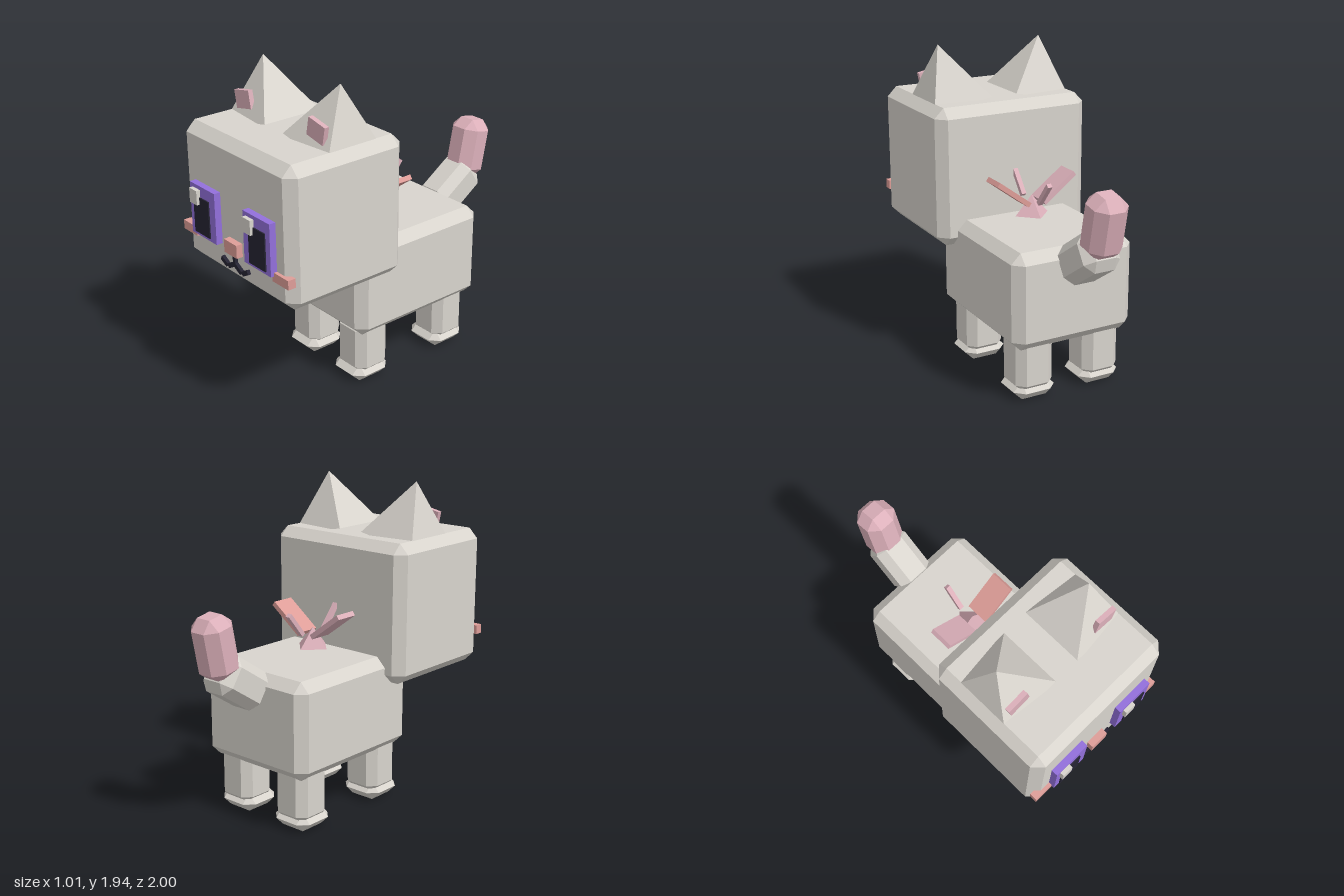
import * as THREE from 'three';
import { ConvexGeometry } from 'three/addons/geometries/ConvexGeometry.js';

const material = (name, color) => {
  const m = new THREE.MeshStandardMaterial({ color });
  m.name = name;
  return m;
};

// Box with flat chamfers of width b on every edge
function chamferBox(w, h, d, b) {
  const [x, y, z] = [w / 2, h / 2, d / 2];
  const points = [];
  for (const sx of [-1, 1]) for (const sy of [-1, 1]) for (const sz of [-1, 1]) {
    points.push(
      new THREE.Vector3(sx * x, sy * (y - b), sz * (z - b)),
      new THREE.Vector3(sx * (x - b), sy * y, sz * (z - b)),
      new THREE.Vector3(sx * (x - b), sy * (y - b), sz * z));
  }
  return new ConvexGeometry(points);
}

export function createModel() {
  const model = new THREE.Group();
  model.name = 'cat';

  const fur = material('warm grey fur', 0xd8d4cd);
  const pink = material('pale pink', 0xdcb0ba);
  const salmon = material('salmon', 0xde9d98);
  const violet = material('violet iris', 0x9370db);
  const ink = material('dark ink', 0x262433);

  function add(name, geometry, mat, [x, y, z], [rx, ry, rz] = [0, 0, 0]) {
    const mesh = new THREE.Mesh(geometry, mat);
    mesh.name = name;
    mesh.position.set(x, y, z);
    mesh.rotation.set(rx, ry, rz);
    model.add(mesh);
    return mesh;
  }
  const box = (w, h, d) => new THREE.BoxGeometry(w, h, d);

  // Body and head
  add('body', chamferBox(0.79, 0.59, 0.965, 0.06), fur, [0, 0.635, -0.123]);
  add('head', chamferBox(1.012, 0.85, 0.812, 0.06), fur, [0, 1.193, 0.528]);

  // Legs and paws
  for (const s of [-1, 1]) {
    for (const [end, z] of [['front', 0.2], ['back', -0.43]]) {
      add(end + 'Leg', chamferBox(0.242, 0.35, 0.242, 0.05), fur, [s * 0.224, 0.225, z]);
      add(end + 'Paw', chamferBox(0.27, 0.112, 0.268, 0.0555), fur, [s * 0.22, 0.056, z + 0.012]);
    }
  }

  // Tail: a leaning base and an upright tip
  add('tailBase', chamferBox(0.238, 0.36, 0.238, 0.055), fur, [0, 0.904, -0.721], [-0.98, 0, 0]);
  add('tailTip', chamferBox(0.218, 0.375, 0.215, 0.06), pink, [0, 1.138, -0.873], [-0.2, 0, 0]);

  // Square pyramid ears, leaning outward
  const earGeometry = new THREE.ConeGeometry(0.276, 0.354, 4, 1, false, Math.PI / 4).toNonIndexed();
  earGeometry.computeVertexNormals();

  for (const s of [-1, 1]) {
    const tilt = [0, 0, -s * 0.2];
    add('ear', earGeometry, fur, [s * 0.311, 1.766, 0.457], tilt);
    add('innerEar', box(0.14, 0.108, 0.03), pink, [s * 0.333, 1.707, 0.606], tilt);

    // Eyes: both highlights sit toward the same side
    add('iris', box(0.243, 0.314, 0.05), violet, [s * 0.257, 1.129, 0.95]);
    add('pupil', box(0.148, 0.227, 0.04), ink, [s * 0.265, 1.105, 0.963]);
    add('eyeHighlight', box(0.072, 0.088, 0.03), fur, [s * 0.257 - 0.057, 1.219, 0.985]);

    // Cheeks and curled mouth strokes
    add('cheek', box(0.14, 0.056, 0.05), salmon, [s * 0.434, 0.966, 0.93]);
    add('mouthInner', box(0.07, 0.028, 0.03), ink, [s * 0.03, 0.88, 0.94], [0, 0, -s * 0.5]);
    add('mouthOuter', box(0.06, 0.028, 0.03), ink, [s * 0.1, 0.878, 0.94], [0, 0, s * 0.5]);
  }
  add('nose', box(0.12, 0.08, 0.06), salmon, [0, 1, 0.945]);
  add('mouthLine', box(0.022, 0.085, 0.03), ink, [0, 0.925, 0.94]);

  // Flower-like ornament hovering above the back
  const knotGeometry = new THREE.ConeGeometry(0.11, 0.12, 4).toNonIndexed();
  knotGeometry.computeVertexNormals();
  add('ornamentKnot', knotGeometry, pink, [0, 1.033, -0.077]);
  for (const s of [-1, 1]) {
    add('ornamentPetal', box(0.26, 0.03, 0.145), s > 0 ? salmon : pink,
      [s * 0.153, 1.13, -0.075], [0, 0, s * 0.64]);
    add('ornamentStem', box(0.03, 0.18, 0.027), pink,
      [0, 1.134, -0.075 + s * 0.155], [s * 0.69, 0, 0]);
  }
  return model;
}
